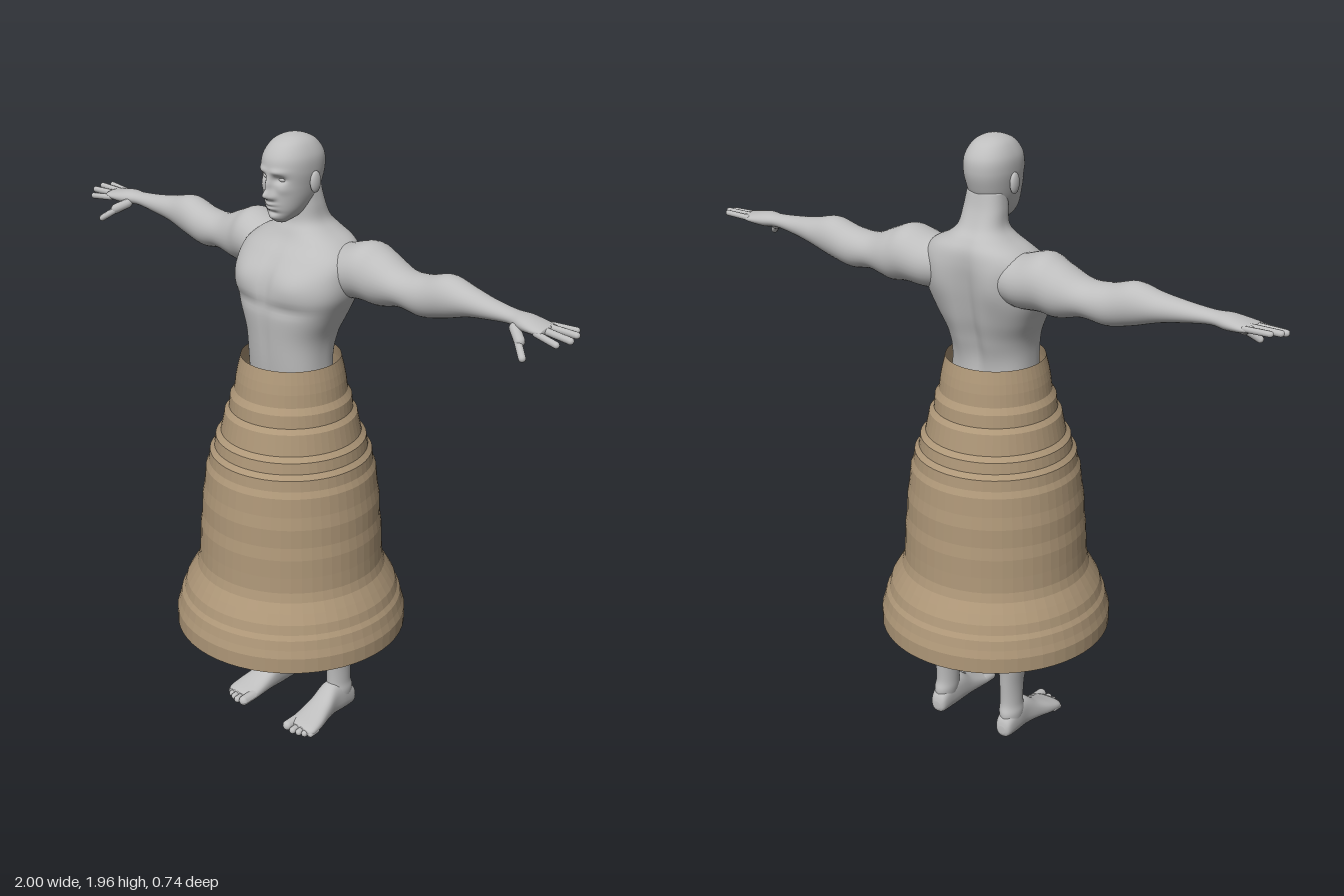
import * as THREE from 'three';

const skin = new THREE.MeshStandardMaterial({ color: 0xbebebe });
skin.name = 'grey skin';
const cloth = new THREE.MeshStandardMaterial({ color: 0xae9778, side: THREE.DoubleSide, flatShading: true });
cloth.name = 'tan cloth';

// Smooth blend through rows of numbers at u in 0..1
function sample(rows, u) {
  const f = u * (rows.length - 1), i = Math.min(Math.floor(f), rows.length - 2), t = f - i;
  const at = k => rows[Math.max(0, Math.min(rows.length - 1, k))];
  const [p, q, r, s] = [at(i - 1), at(i), at(i + 1), at(i + 2)];
  return q.map((v, k) => v + 0.5 * t * (r[k] - p[k] + t * (2 * p[k] - 5 * v + 4 * r[k] - s[k]
    + t * (3 * (v - r[k]) + s[k] - p[k]))));
}

// Closed skin over rounded sections [t, aMin, aMax, bMin, bMax]; axes gives the a, b, t directions
function loft(rows, axes, { n = 32, steps = 6, power = 2, bump } = {}) {
  const count = (rows.length - 1) * steps, pos = [], idx = [];
  const p = new THREE.Vector3();
  const add = (a, b, t) => {
    p[axes[0]] = a; p[axes[1]] = b; p[axes[2]] = t;
    if (bump) bump(p);
    pos.push(p.x, p.y, p.z);
  };
  const round = v => Math.sign(v) * Math.abs(v) ** (2 / power);
  for (let i = 0; i <= count; i++) {
    const [t, a0, a1, b0, b1] = sample(rows, i / count);
    for (let j = 0; j < n; j++) {
      const w = j / n * Math.PI * 2;
      add((a0 + a1) / 2 + (a1 - a0) / 2 * round(Math.cos(w)), (b0 + b1) / 2 + (b1 - b0) / 2 * round(Math.sin(w)), t);
    }
  }
  for (let i = 0; i < count; i++) for (let j = 0; j < n; j++) {
    const k = (j + 1) % n, a = i * n + j, b = i * n + k;
    idx.push(a, b, b + n, a, b + n, a + n);
  }
  // end caps
  [rows[0], rows[rows.length - 1]].forEach(([t, a0, a1, b0, b1], e) => {
    const c = pos.length / 3, o = e * count * n;
    add((a0 + a1) / 2, (b0 + b1) / 2, t);
    for (let j = 0; j < n; j++) {
      const k = (j + 1) % n;
      e ? idx.push(c, o + j, o + k) : idx.push(c, o + k, o + j);
    }
  });
  const g = new THREE.BufferGeometry();
  g.setAttribute('position', new THREE.Float32BufferAttribute(pos, 3));
  g.setIndex(idx);
  g.computeVertexNormals();
  return g;
}

// Rounded rod between two points
function rod(a, b, r) {
  const A = new THREE.Vector3(...a), d = new THREE.Vector3(...b).sub(A), len = d.length();
  const g = new THREE.CapsuleGeometry(r, Math.max(len - 2 * r, 0.001), 6, 12);
  g.applyQuaternion(new THREE.Quaternion().setFromUnitVectors(new THREE.Vector3(0, 1, 0), d.clone().normalize()));
  return g.translate(A.x + d.x / 2, A.y + d.y / 2, A.z + d.z / 2);
}

function ellipsoid(c, s) {
  return new THREE.SphereGeometry(1, 20, 14).scale(...s).translate(...c);
}

// Copy on the other side of x = 0, with its corners reordered
function mirrored(geo) {
  const g = geo.clone(), p = g.attributes.position, i = g.index;
  for (let k = 0; k < p.count; k++) p.setX(k, -p.getX(k));
  for (let k = 0; k < i.count; k += 3) {
    const t = i.getX(k);
    i.setX(k, i.getX(k + 1));
    i.setX(k + 1, t);
  }
  g.computeVertexNormals();
  return g;
}

const hill = (x, y, cx, cy, sx, sy) => Math.exp(-(((x - cx) / sx) ** 2) - ((y - cy) / sy) ** 2);

// Chest, belly, spine and shoulder blade relief
function torsoRelief(p) {
  const x = Math.abs(p.x), { y } = p;
  if (p.z > -0.03) {
    const w = Math.min(1, (p.z + 0.03) / 0.06);
    p.z += w * (0.012 * hill(x, y, 0.1, 1.53, 0.07, 0.05) - 0.008 * hill(x, y, 0, 1.53, 0.015, 0.08)
      - 0.007 * hill(x, y, 0.08, 1.455, 0.09, 0.018) - 0.004 * hill(x, y, 0, 1.36, 0.012, 0.1));
  } else {
    const w = Math.min(1, (-0.03 - p.z) / 0.06);
    p.z += w * (0.022 * hill(x, y, 0, 1.45, 0.028, 0.2) - 0.01 * hill(x, y, 0.1, 1.54, 0.045, 0.07)
      - 0.006 * hill(x, y, 0.05, 1.32, 0.03, 0.09));
  }
}

// Nose, brow, eye sockets, cheeks, lips and chin
function faceRelief(p) {
  if (p.z < 0.01) return;
  const x = Math.abs(p.x), { y } = p, w = Math.min(1, (p.z - 0.01) / 0.03);
  p.z += w * (0.026 * hill(x, y, 0, 1.792, 0.014, 0.014) + 0.016 * hill(x, y, 0, 1.822, 0.01, 0.024)
    + 0.008 * hill(x, y, 0.015, 1.786, 0.009, 0.009) - 0.015 * hill(x, y, 0.032, 1.84, 0.018, 0.011)
    + 0.006 * hill(x, y, 0.03, 1.863, 0.025, 0.009) + 0.004 * hill(x, y, 0.045, 1.81, 0.016, 0.014)
    + 0.009 * hill(x, y, 0, 1.764, 0.02, 0.006) + 0.008 * hill(x, y, 0, 1.75, 0.018, 0.006)
    - 0.005 * hill(x, y, 0, 1.737, 0.025, 0.006) + 0.006 * hill(x, y, 0, 1.72, 0.018, 0.01));
}

export function createModel() {
  const model = new THREE.Group();
  const add = (name, geo, mat = skin) => {
    const m = new THREE.Mesh(geo, mat);
    m.name = name;
    model.add(m);
  };
  const pair = (name, geo) => {
    add('left ' + name, geo);
    add('right ' + name, mirrored(geo));
  };
  const even = rows => rows.map(([t, a0, a1, h]) => [t, a0, a1, -h, h]);

  // Long ridged skirt, open at both ends
  const profile = [
    [0.37, 0.35], [0.37, 0.4], [0.362, 0.425], [0.355, 0.455], [0.345, 0.47], [0.337, 0.5], [0.32, 0.53],
    [0.302, 0.56], [0.294, 0.59], [0.291, 0.64], [0.289, 0.7], [0.283, 0.74], [0.281, 0.8], [0.274, 0.84],
    [0.268, 0.9], [0.259, 0.92], [0.255, 0.955], [0.241, 0.97], [0.236, 1.005], [0.22, 1.02], [0.214, 1.05],
    [0.207, 1.085], [0.193, 1.1], [0.189, 1.14], [0.176, 1.16], [0.171, 1.2], [0.165, 1.23], [0.155, 1.27]];
  add('skirt', new THREE.LatheGeometry(profile.map(q => new THREE.Vector2(...q)), 56), cloth);

  // Torso with pelvis, shoulders and neck
  add('torso', loft(even([
    [0.88, -0.07, 0.05, 0.1], [0.95, -0.11, 0.08, 0.155], [1.05, -0.12, 0.09, 0.16], [1.15, -0.11, 0.095, 0.143],
    [1.27, -0.105, 0.108, 0.136], [1.35, -0.125, 0.115, 0.143], [1.42, -0.15, 0.12, 0.172],
    [1.49, -0.166, 0.12, 0.203], [1.55, -0.174, 0.104, 0.208], [1.6, -0.177, 0.072, 0.2],
    [1.64, -0.172, 0.038, 0.16], [1.67, -0.155, 0.02, 0.105], [1.7, -0.13, 0.006, 0.075],
    [1.75, -0.107, 0.005, 0.067], [1.8, -0.095, 0.01, 0.06]]), 'zxy', { n: 80, power: 2.4, bump: torsoRelief }));

  // Bald head
  add('head', loft(even([
    [1.704, 0.03, 0.06, 0.02], [1.72, -0.02, 0.075, 0.038], [1.745, -0.05, 0.083, 0.054],
    [1.78, -0.085, 0.088, 0.066], [1.82, -0.103, 0.09, 0.074], [1.86, -0.112, 0.094, 0.079],
    [1.9, -0.108, 0.088, 0.076], [1.935, -0.083, 0.062, 0.058], [1.953, -0.05, 0.028, 0.034],
    [1.96, -0.015, -0.005, 0.004]]), 'zxy', { n: 112, steps: 12, power: 2.2, bump: faceRelief }));
  pair('eye', ellipsoid([0.031, 1.839, 0.066], [0.014, 0.008, 0.01]));
  pair('ear', ellipsoid([0.081, 1.825, -0.02], [0.011, 0.033, 0.02]));

  // Outstretched arm with palm
  pair('arm', loft([
    [0.08, 1.5, 1.63, -0.155, -0.02], [0.16, 1.48, 1.643, -0.175, 0.005], [0.24, 1.485, 1.665, -0.182, 0.003],
    [0.3, 1.48, 1.645, -0.176, -0.012], [0.38, 1.497, 1.612, -0.16, -0.025], [0.46, 1.488, 1.615, -0.155, -0.03],
    [0.54, 1.505, 1.635, -0.152, -0.035], [0.62, 1.53, 1.618, -0.14, -0.045], [0.7, 1.545, 1.605, -0.122, -0.05],
    [0.78, 1.555, 1.597, -0.112, -0.052], [0.83, 1.55, 1.597, -0.12, -0.038], [0.88, 1.554, 1.588, -0.122, -0.032],
    [0.91, 1.562, 1.582, -0.118, -0.036]], 'yzx'));

  // Fingers and thumb: root, tip, radius
  [['index finger', [0.88, 1.567, -0.043], [0.975, 1.556, -0.03], 0.01],
    ['middle finger', [0.88, 1.573, -0.066], [1, 1.567, -0.06], 0.0105],
    ['ring finger', [0.88, 1.575, -0.09], [0.998, 1.575, -0.09], 0.01],
    ['little finger', [0.88, 1.573, -0.111], [0.978, 1.578, -0.117], 0.009],
    ['thumb base', [0.8, 1.568, -0.055], [0.86, 1.53, -0.018], 0.016],
    ['thumb', [0.84, 1.54, -0.026], [0.89, 1.5, 0.01], 0.011]].forEach(([name, a, b, r]) => pair(name, rod(a, b, r)));

  // Leg from hip to ankle
  pair('leg', loft([
    [0.03, -0.14, -0.055, 0.105, 0.16], [0.08, -0.148, -0.046, 0.095, 0.166], [0.12, -0.14, -0.05, 0.094, 0.162],
    [0.2, -0.145, -0.045, 0.094, 0.165], [0.3, -0.155, -0.032, 0.088, 0.184], [0.38, -0.158, -0.02, 0.083, 0.19],
    [0.5, -0.13, -0.005, 0.084, 0.18], [0.65, -0.13, 0.025, 0.06, 0.185], [0.8, -0.135, 0.05, 0.025, 0.185],
    [0.92, -0.13, 0.06, 0.01, 0.17], [1, -0.1, 0.04, 0.03, 0.14]], 'zxy'));

  // Bare foot
  pair('foot', loft([
    [-0.157, 0.118, 0.143, 0.02, 0.045], [-0.145, 0.103, 0.158, 0.004, 0.075], [-0.1, 0.097, 0.165, 0, 0.11],
    [-0.05, 0.092, 0.168, 0, 0.115], [0, 0.09, 0.18, 0.002, 0.08], [0.05, 0.088, 0.194, 0, 0.055],
    [0.09, 0.088, 0.198, 0, 0.038], [0.108, 0.094, 0.188, 0.004, 0.028]], 'xyz', { power: 2.4 }));
  [[0.104, 0.136, 0.017], [0.131, 0.135, 0.012], [0.152, 0.128, 0.0115], [0.171, 0.12, 0.011], [0.187, 0.108, 0.0105]]
    .forEach(([x, z, r], i) => pair('toe ' + (i + 1), rod([x, r + 0.006, 0.06], [x, r, z], r)));

  return model;
}
